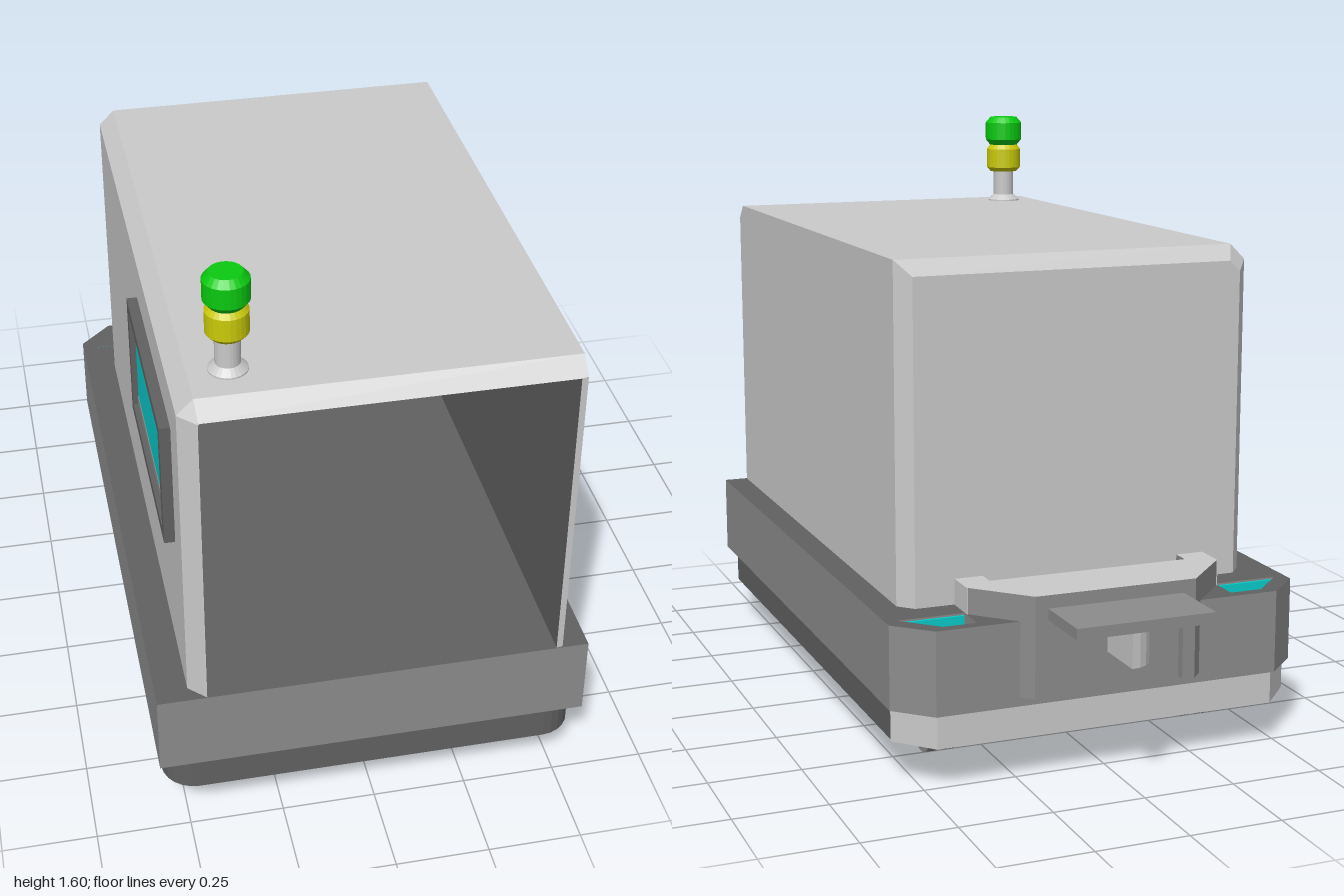
import * as THREE from 'three';

const mat = (name, color) => Object.assign(new THREE.MeshStandardMaterial({ color }), { name });
const light = mat('lightGrey', 0xcacaca);
const mid = mat('midGrey', 0x8c8c8c);
const dark = mat('darkGrey', 0x616161);
const cyan = mat('cyan', 0x08caca);
const green = mat('green', 0x0aca10);
const yellow = mat('yellow', 0xcaca0a);

export function createModel() {
  const root = new THREE.Group();
  root.name = 'transportCart';

  const add = (name, geo, material, parent = root) => {
    const m = new THREE.Mesh(geo, material);
    m.name = name;
    parent.add(m);
    return m;
  };
  // Box given by its lower and upper limits
  const box = (name, [x0, x1], [y0, y1], [z0, z1], material, parent) => {
    const m = add(name, new THREE.BoxGeometry(x1 - x0, y1 - y0, z1 - z0), material, parent);
    m.position.set((x0 + x1) / 2, (y0 + y1) / 2, (z0 + z1) / 2);
    return m;
  };
  // Upright prism from a floor plan of [x, z] points
  const plan = (pts, Type = THREE.Shape) => new Type(pts.map(([x, z]) => new THREE.Vector2(x, -z)));
  const prism = (name, pts, y0, y1, material, holes = []) => {
    const shape = plan(pts);
    shape.holes = holes.map((h) => plan(h, THREE.Path));
    const geo = new THREE.ExtrudeGeometry(shape, { depth: y1 - y0, bevelEnabled: false });
    geo.rotateX(-Math.PI / 2);
    geo.translate(0, y0, 0);
    return add(name, geo, material);
  };
  const mirrorX = (pts) => pts.map(([x, z]) => [-x, z]).reverse();
  const symmetric = (half) => [...half, ...mirrorX(half)];

  // Deck: square front, cut rear corners, two lamp pockets
  const deck = symmetric([[0.573, 0.99], [0.573, -0.7], [0.48, -0.79]]);
  const pocket = [[0.36, -0.67], [0.54, -0.67], [0.45, -0.76], [0.36, -0.76]];
  prism('deckLower', deck, 0.205, 0.37, [dark, mid]);
  prism('deckUpper', deck, 0.37, 0.43, [dark, mid], [pocket, mirrorX(pocket)]);
  for (const s of [-1, 1]) {
    const span = s > 0 ? [0.362, 0.538] : [-0.538, -0.362];
    box('rearLamp', span, [0.385, 0.425], [-0.678, -0.67], cyan);
    const sill = [[0.36, -0.678], [0.53, -0.678], [0.515, -0.692], [0.36, -0.692]];
    prism('lampSill', s > 0 ? sill : mirrorX(sill), 0.37, 0.385, light);
  }

  // Skirt: hollow ring with round front corners, cut rear corners
  const skirt = (d) => {
    const half = [];
    const r = 0.09 - d * 0.4;
    for (let i = 0; i <= 6; i++) {
      const a = Math.PI / 2 * (1 - i / 6);
      half.push([0.56 - d - r + r * Math.cos(a), 0.985 - d - r + r * Math.sin(a)]);
    }
    half.push([0.56 - d, -0.68 + d * 0.4], [0.47 - d * 0.4, -0.773 + d]);
    return symmetric(half);
  };
  prism('skirt', skirt(0), 0.115, 0.205, dark, [skirt(0.07)]);
  prism('skirtLiner', skirt(0.07), 0.123, 0.2, light, [skirt(0.08)]);
  prism('underside', skirt(0.05), 0.175, 0.203, dark);
  prism('rearBumper', symmetric([[0.565, -0.68], [0.474, -0.78]]).concat(
    [[-0.56, -0.68], [-0.47, -0.773], [0.47, -0.773], [0.56, -0.68]]), 0.116, 0.204, [dark, light]);

  // Cargo housing: open-fronted shell lofted through arched sections along z
  const arch = (z, r, l, top, c) =>
    [[r, 0.43, z], [r, top, z], [l + c, top, z], [l, top - c, z], [l, 0.43, z]];
  const loft = (rings, capStart, capEnd) => {
    const v = [];
    const tri = (...p) => p.forEach((q) => v.push(...q));
    for (let k = 0; k + 1 < rings.length; k++) {
      for (let i = 0; i < 4; i++) {
        const [a, b, c, d] = [rings[k][i], rings[k][i + 1], rings[k + 1][i + 1], rings[k + 1][i]];
        tri(a, b, c, a, c, d);
      }
    }
    const last = rings[rings.length - 1];
    for (let i = 1; i < 4; i++) {
      if (capStart) tri(rings[0][0], rings[0][i + 1], rings[0][i]);
      if (capEnd) tri(last[0], last[i], last[i + 1]);
    }
    const geo = new THREE.BufferGeometry();
    geo.setAttribute('position', new THREE.Float32BufferAttribute(v, 3));
    geo.computeVertexNormals();
    return geo;
  };
  const mouth = arch(0.988, 0.486, -0.443, 1.288, 0.004);
  add('housing', loft([
    arch(-0.592, 0.465, -0.455, 1.29, 0.03),
    arch(-0.552, 0.503, -0.488, 1.33, 0.042),
    arch(0.945, 0.503, -0.488, 1.33, 0.042),
    arch(0.986, 0.503, -0.446, 1.29, 0.004),
    mouth,
  ], true, false), light);
  add('housingInterior', loft([mouth, arch(-0.54, 0.486, -0.443, 1.288, 0.004)], false, true), dark);

  // Control screen on the right wall
  const [sy, sz] = [[0.82, 1.172], [0.23, 0.83]];
  box('screenBack', [-0.496, -0.485], sy, sz, dark);
  for (const y of [sy[0], sy[1] - 0.028]) box('screenFrame', [-0.516, -0.49], [y, y + 0.028], sz, dark);
  for (const z of [sz[0], sz[1] - 0.028]) box('screenFrame', [-0.516, -0.49], sy, [z, z + 0.028], dark);
  box('screen', [-0.501, -0.495], [0.875, 1.144], [0.258, 0.802], cyan);
  box('screenLedge', [-0.503, -0.495], [0.848, 0.875], [0.258, 0.802], mid);

  // Signal tower
  const tower = new THREE.Group();
  tower.name = 'signalTower';
  tower.position.set(-0.345, 0, 0.835);
  root.add(tower);
  const turned = (name, pts, material) => {
    const geo = new THREE.LatheGeometry(pts.map(([r, y]) => new THREE.Vector2(r, y)), 24).toNonIndexed();
    geo.computeVertexNormals();
    add(name, geo, material, tower);
  };
  turned('towerStem', [[0.05, 1.328], [0.05, 1.334], [0.032, 1.35], [0.032, 1.43]], light);
  turned('yellowLamp', [[0, 1.425], [0.042, 1.425], [0.054, 1.438], [0.054, 1.497], [0.042, 1.513], [0, 1.513]], yellow);
  turned('greenLamp', [[0, 1.511], [0.044, 1.511], [0.058, 1.528], [0.058, 1.582], [0.042, 1.6], [0, 1.6]], green);

  // Rear docking block with a status panel and a recessed face
  const dockHalf = [[0.28, -0.595], [0.355, -0.595], [0.355, -0.685], [0.225, -0.82]];
  const slot = [[0.19, -0.82], [0.19, -0.795]];
  prism('dockCap', symmetric([[0.28, -0.645], ...dockHalf]), 0.44, 0.5, [light, mid]);
  prism('dockBody', symmetric([...dockHalf, ...slot]), 0.23, 0.44, [light, mid]);
  for (const s of [-1, 1]) {
    const xs = [s * 0.35, s * 0.358].sort((a, b) => a - b);
    box('dockCheek', xs, [0.43, 0.5], [-0.685, -0.595], light);
  }
  prism('statusPanel', symmetric([[0.28, -0.598], [0.22, -0.645]]), 0.445, 0.465, cyan);

  // Coupling tongue with a half-round lug below
  box('tongue', [-0.19, 0.19], [0.435, 0.465], [-1, -0.79], mid);
  const lug = [];
  for (let i = 0; i <= 10; i++) {
    const a = Math.PI * i / 10;
    lug.push([0.035 - 0.075 * Math.sin(a), -0.915 + 0.075 * Math.cos(a)]);
  }
  prism('tongueLug', lug, 0.34, 0.436, light);

  // Wheels
  const disc = (name, r, w, x, y, z, material, parent) => {
    const m = add(name, new THREE.CylinderGeometry(r, r, w, 28), material, parent);
    m.rotation.z = Math.PI / 2;
    m.position.set(x, y, z);
  };
  for (const s of [-1, 1]) {
    const x = s * 0.375;
    for (const z of [0.6, -0.485]) {
      const caster = new THREE.Group();
      caster.name = 'caster';
      caster.position.set(x, 0, z);
      root.add(caster);
      for (const t of [-1, 1]) {
        disc('casterWheel', 0.076, 0.03, t * 0.026, 0.076, 0, mid, caster);
        box('casterFork', [t * 0.052 - 0.008, t * 0.052 + 0.008], [0.05, 0.16], [-0.03, 0.03], mid, caster);
      }
      disc('casterHub', 0.032, 0.124, 0, 0.076, 0, dark, caster);
      box('casterMount', [-0.06, 0.06], [0.15, 0.18], [-0.085, 0.085], mid, caster);
    }
    disc('driveWheel', 0.12, 0.07, x, 0.12, 0.045, mid);
    disc('driveHub', 0.045, 0.09, x, 0.12, 0.045, dark);
  }
  box('driveAxleHousing', [-0.33, 0.33], [0.11, 0.18], [-0.05, 0.14], dark);

  return root;
}
